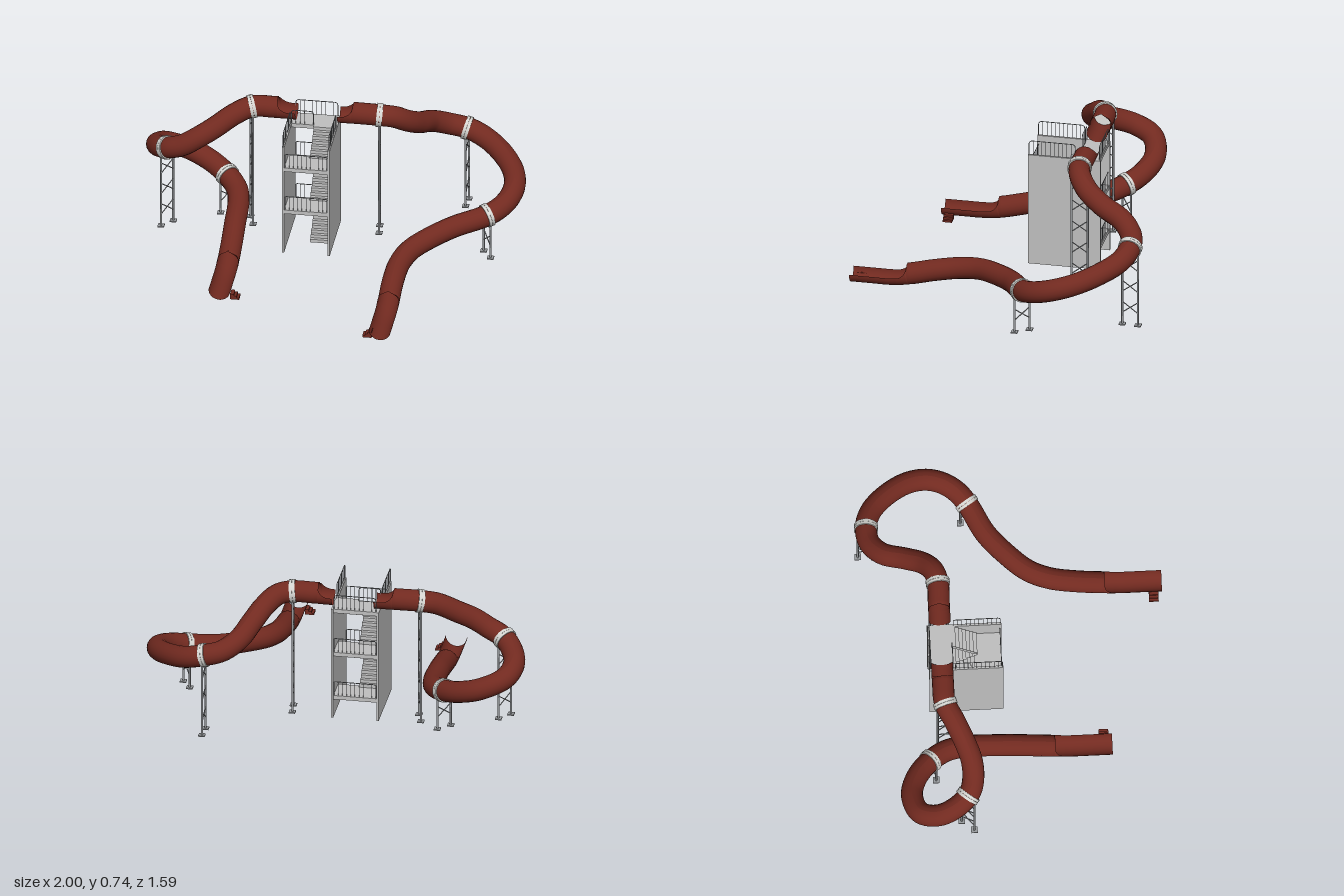
import * as THREE from 'three';

const mat = (name, color, side = THREE.FrontSide) => {
  const m = new THREE.MeshStandardMaterial({ color, side });
  m.name = name;
  return m;
};
const V = (x, y, z) => new THREE.Vector3(x, y, z);
const R = 0.057;

export function createModel() {
  const root = new THREE.Group();
  root.name = 'waterSlideTower';
  const red = mat('slide red', 0x722a20, THREE.DoubleSide);
  const concrete = mat('concrete grey', 0xc0c0c0);
  const steel = mat('steel grey', 0x999c9f);
  const clamp = mat('clamp light grey', 0xd4d4d0);

  const group = (name, parent = root) => {
    const g = new THREE.Group();
    g.name = name;
    parent.add(g);
    return g;
  };
  const add = (parent, name, geo, m) => {
    const mesh = new THREE.Mesh(geo, m);
    mesh.name = name;
    parent.add(mesh);
    return mesh;
  };
  // box given by its min and max corners
  const box = (parent, name, m, x0, x1, y0, y1, z0, z1) =>
    add(parent, name, new THREE.BoxGeometry(x1 - x0, y1 - y0, z1 - z0), m)
      .position.set((x0 + x1) / 2, (y0 + y1) / 2, (z0 + z1) / 2);
  // round bar between two points
  const bar = (parent, name, a, b, r) => {
    const mesh = add(parent, name, new THREE.CylinderGeometry(r, r, a.distanceTo(b), 6), steel);
    mesh.position.copy(a).lerp(b, 0.5);
    mesh.quaternion.setFromUnitVectors(V(0, 1, 0), b.clone().sub(a).normalize());
  };
  // railing with rounded top corners of radius c and thin balusters
  const railing = (parent, a, b, c) => {
    const g = group('railing', parent), h = 0.079;
    const d = b.clone().sub(a).normalize().multiplyScalar(c);
    const up = (p, y) => p.clone().add(V(0, y, 0));
    const path = new THREE.CurvePath();
    const aTop = up(a, h).add(d), bTop = up(b, h).sub(d);
    path.add(new THREE.LineCurve3(a, up(a, h - c)));
    path.add(new THREE.QuadraticBezierCurve3(up(a, h - c), up(a, h), aTop));
    path.add(new THREE.LineCurve3(aTop, bTop));
    path.add(new THREE.QuadraticBezierCurve3(bTop, up(b, h), up(b, h - c)));
    path.add(new THREE.LineCurve3(up(b, h - c), b));
    add(g, 'handrail', new THREE.TubeGeometry(path, 50, 0.0022, 6), steel);
    const n = Math.round(a.distanceTo(b) / 0.023);
    for (let i = 1; i < n; i++) {
      const p = a.clone().lerp(b, i / n);
      bar(g, 'baluster', p, up(p, h), 0.0013);
    }
  };

  // stair tower: two side walls, switchback landings
  const tower = group('tower');
  box(tower, 'sideWall', concrete, 0.01, 0.022, 0, 0.6245, -0.445, -0.06);
  box(tower, 'sideWall', concrete, -0.23, -0.218, 0, 0.6245, -0.445, -0.06);
  for (const y of [0.125, 0.375, 0.625]) {
    box(tower, 'backLanding', concrete, -0.218, 0.01, y - 0.022, y, -0.44, -0.32);
    railing(tower, V(-0.214, y, -0.437), V(0.007, y, -0.437), y > 0.6 ? 0.018 : 0.004);
  }
  for (const y of [0.25, 0.5]) {
    box(tower, 'frontLanding', concrete, -0.218, 0.01, y - 0.022, y, -0.19, -0.065);
    railing(tower, V(-0.214, y, -0.068), V(0.007, y, -0.068), 0.004);
  }
  railing(tower, V(0.016, 0.6245, -0.065), V(0.016, 0.6245, -0.31), 0.018);
  railing(tower, V(-0.224, 0.6245, -0.065), V(-0.224, 0.6245, -0.31), 0.018);
  railing(tower, V(-0.22, 0.6245, -0.322), V(-0.104, 0.6245, -0.322), 0.018);

  // stair flights
  const run = 0.13, rise = 0.125, steps = 7;
  const profile = new THREE.Shape();
  profile.moveTo(0, 0);
  for (let i = 0; i < steps; i++) {
    profile.lineTo(run * i / steps, rise * (i + 1) / steps);
    profile.lineTo(run * (i + 1) / steps, rise * (i + 1) / steps);
  }
  profile.lineTo(run, rise - 0.022);
  profile.lineTo(0.022, 0);
  const flight = new THREE.ExtrudeGeometry(profile, { depth: 0.111, bevelEnabled: false });
  for (let i = 0; i < 5; i++) {
    const f = add(tower, 'stairFlight', flight, concrete);
    const rear = i % 2 === 0; // climbs towards the back
    f.rotation.y = rear ? Math.PI / 2 : -Math.PI / 2;
    f.position.set(rear ? -0.101 : -0.107, i * rise, rear ? -0.19 : -0.32);
  }

  // tube swept along a curve, open on top near both ends with rounded cuts
  const frame = (curve, u) => {
    const p = curve.getPointAt(u), t = curve.getTangentAt(u);
    const side = t.clone().cross(V(0, 1, 0)).normalize();
    return { p, t, side, up: side.clone().cross(t) };
  };
  const chute = (curve, topOpen, endOpen) => {
    const S = 20, cut = 0.065, len = curve.getLength();
    const pos = [], idx = [], stations = [0];
    const span = (to, n) => {
      const from = stations[stations.length - 1];
      for (let i = 1; i <= n; i++) stations.push(from + (to - from) * i / n);
    };
    span(topOpen - cut, 2);
    span(topOpen, 14);
    span(len - endOpen, 120);
    span(len - endOpen + cut, 14);
    span(len, 10);
    const opening = (d, L) => {
      const t = Math.min(1, Math.max(0, (d - L + cut) / cut));
      return Math.acos(1 - Math.sqrt(1 - t * t));
    };
    stations.forEach((d, i) => {
      const { p, side, up } = frame(curve, Math.min(1, d / len));
      const o = Math.max(opening(d, topOpen), opening(len - d, endOpen));
      for (let j = 0; j <= S; j++) {
        const a = o + (2 * Math.PI - 2 * o) * j / S;
        const q = p.clone().addScaledVector(side, R * Math.sin(a)).addScaledVector(up, R * Math.cos(a));
        pos.push(q.x, Math.max(0.002, q.y), q.z);
        if (i < stations.length - 1 && j < S) {
          const k = i * (S + 1) + j, n = k + S + 1;
          idx.push(k, k + 1, n, k + 1, n + 1, n);
        }
      }
    });
    const g = new THREE.BufferGeometry();
    g.setAttribute('position', new THREE.Float32BufferAttribute(pos, 3));
    g.setIndex(idx);
    g.computeVertexNormals();
    return g;
  };

  // clamp ring on two braced legs, placed at the curve point nearest to target
  const support = (parent, curve, target, braces) => {
    const g = group('support', parent);
    let best = 0, dist = 9;
    for (let i = 0; i <= 300; i++) {
      const d = curve.getPointAt(i / 300).distanceTo(target);
      if (d < dist) { dist = d; best = i / 300; }
    }
    const { p, t, side } = frame(curve, best);
    for (const s of [-1, 1]) {
      const ring = add(g, 'clampRing', new THREE.CylinderGeometry(0.063, 0.063, 0.015, 20), clamp);
      ring.position.copy(p).addScaledVector(t, s * 0.008);
      ring.quaternion.setFromUnitVectors(V(0, 1, 0), t);
    }
    const at = (s, y) => p.clone().addScaledVector(side, s * 0.042).setY(y);
    for (const s of [-1, 1]) {
      bar(g, 'leg', at(s, 0), at(s, p.y - 0.035), 0.006);
      const f = at(s, 0.004);
      box(g, 'foot', steel, f.x - 0.017, f.x + 0.017, 0, 0.006, f.z - 0.017, f.z + 0.017);
    }
    for (let i = 0; i < braces; i++) {
      const y = 0.07 + i * 0.121;
      for (const s of [-1, 1]) bar(g, 'crossBrace', at(s, y), at(-s, y + 0.062), 0.003);
    }
  };

  const slide = (name, points, topOpen, endOpen, supports, exitX, exitZ, dir) => {
    const g = group(name);
    const curve = new THREE.CatmullRomCurve3(points.map(p => V(...p)), false, 'centripetal');
    curve.arcLengthDivisions = 600;
    add(g, 'chute', chute(curve, topOpen, endOpen), red);
    for (const [x, y, z, n] of supports) support(g, curve, V(x, y, z), n);
    // small steps beside the exit trough
    for (let k = 0; k < 3; k++) {
      const a = exitX + dir * (k * 0.014 - 0.006), b = exitX + dir * (k + 1) * 0.014;
      box(g, 'exitStep', red, Math.min(a, b), Math.max(a, b), 0, 0.03 - 0.01 * k, exitZ - 0.025, exitZ + 0.025);
    }
  };

  slide('leftSlide', [
    [0.02, 0.682, -0.38], [0.12, 0.682, -0.38], [0.24, 0.68, -0.38], [0.31, 0.665, -0.4],
    [0.37, 0.62, -0.45], [0.42, 0.565, -0.54], [0.47, 0.515, -0.655], [0.55, 0.47, -0.72],
    [0.65, 0.443, -0.733], [0.75, 0.41, -0.7], [0.85, 0.375, -0.61], [0.92, 0.34, -0.5],
    [0.942, 0.31, -0.4], [0.925, 0.28, -0.31], [0.88, 0.253, -0.24], [0.815, 0.23, -0.19],
    [0.67, 0.202, -0.11], [0.55, 0.18, 0], [0.47, 0.16, 0.1], [0.43, 0.137, 0.21],
    [0.417, 0.105, 0.35], [0.417, 0.073, 0.48], [0.417, 0.06, 0.57], [0.417, 0.059, 0.68], [0.417, 0.059, 0.795],
  ], 0.078, 0.308, [[0.235, 0.68, -0.38, 5], [0.638, 0.446, -0.733, 3], [0.832, 0.236, -0.2, 1]], 0.364, 0.75, -1);

  slide('rightSlide', [
    [-0.2, 0.682, -0.38], [-0.32, 0.682, -0.38], [-0.43, 0.68, -0.375], [-0.52, 0.65, -0.33],
    [-0.62, 0.587, -0.28], [-0.7, 0.54, -0.25], [-0.78, 0.49, -0.245], [-0.85, 0.46, -0.265],
    [-0.91, 0.425, -0.33], [-0.942, 0.385, -0.43], [-0.91, 0.345, -0.525], [-0.79, 0.292, -0.565],
    [-0.67, 0.248, -0.53], [-0.575, 0.213, -0.455], [-0.515, 0.188, -0.37], [-0.49, 0.168, -0.27],
    [-0.48, 0.135, -0.08], [-0.475, 0.1, 0.06], [-0.473, 0.069, 0.19], [-0.473, 0.06, 0.27],
    [-0.473, 0.059, 0.38], [-0.473, 0.059, 0.495],
  ], 0.1, 0.308, [[-0.435, 0.68, -0.375, 5], [-0.868, 0.45, -0.277, 3], [-0.578, 0.214, -0.457, 1]], -0.414, 0.452, 1);

  return root;
}
